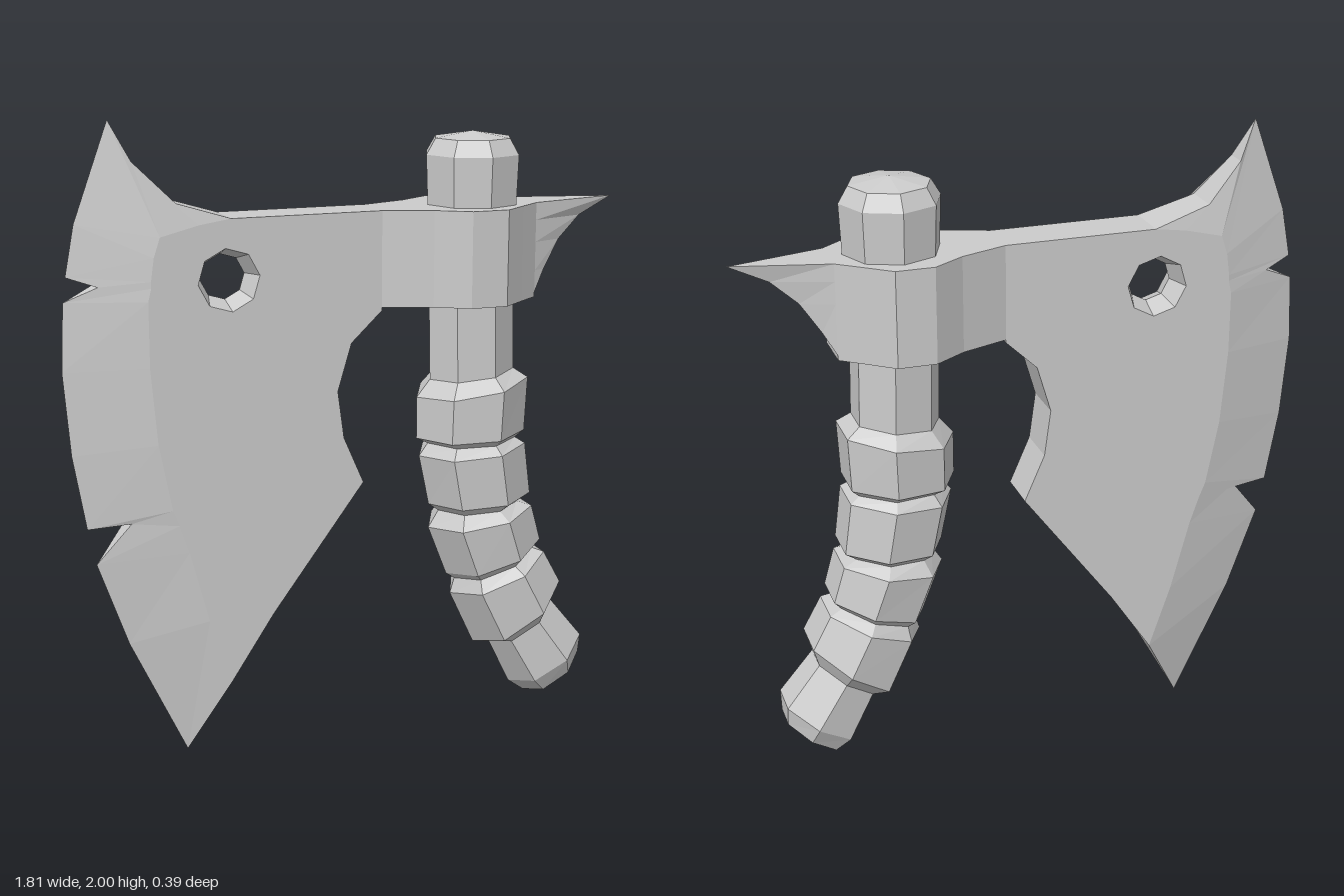
import * as THREE from 'three';

const material = new THREE.MeshStandardMaterial({ color: 0xcccccc, flatShading: true });
const HALF = 0.075; // half thickness of the blade plate

function addPart(group, name, geometry) {
  const mesh = new THREE.Mesh(geometry, material);
  mesh.name = name;
  group.add(mesh);
  return mesh;
}

// Collects flat polygons (counter-clockwise corners) into a faceted geometry
function facets(polygons) {
  const positions = [];
  for (const p of polygons) {
    for (let i = 1; i < p.length - 1; i++) positions.push(...p[0], ...p[i], ...p[i + 1]);
  }
  const geometry = new THREE.BufferGeometry();
  geometry.setAttribute('position', new THREE.Float32BufferAttribute(positions, 3));
  geometry.computeVertexNormals();
  return geometry;
}

// Symmetric wedge; each station is [innerX, innerY, outerX, outerY, outerHalfThickness]
function wedge(stations) {
  const polygons = [];
  const rings = stations.map(([ix, iy, ox, oy, w]) => [
    [ix, iy, HALF], [ox, oy, w], [ox, oy, -w], [ix, iy, -HALF],
  ]);
  for (let i = 0; i < rings.length - 1; i++) {
    for (let j = 0; j < 3; j++) {
      polygons.push([rings[i][j], rings[i][j + 1], rings[i + 1][j + 1], rings[i + 1][j]]);
    }
  }
  polygons.push([...rings[0]].reverse(), rings[rings.length - 1]);
  return facets(polygons);
}

// Seven-sided sleeve through rings given by their left and right points in the xy plane
function sleeve(spans, sides = 7) {
  const rings = spans.map(([lx, ly, rx, ry]) => {
    const length = Math.hypot(rx - lx, ry - ly);
    const ux = (rx - lx) / length, uy = (ry - ly) / length;
    const r = length / 1.9;
    return Array.from({ length: sides }, (_, i) => {
      const a = Math.PI + (i / sides) * Math.PI * 2;
      const d = r * (1 + Math.cos(a));
      return [lx + ux * d, ly + uy * d, r * 0.94 * Math.sin(a)];
    });
  });
  const polygons = [[...rings[0]].reverse(), rings[rings.length - 1]];
  for (let k = 0; k < rings.length - 1; k++) {
    for (let i = 0; i < sides; i++) {
      const n = (i + 1) % sides;
      polygons.push([rings[k][i], rings[k][n], rings[k + 1][n], rings[k + 1][i]]);
    }
  }
  return facets(polygons);
}

export function createModel() {
  const model = new THREE.Group();
  model.name = 'axe';

  // Sharpened, notched cutting edge from the top of the plate to the lower tip
  const edge = [
    [-0.4, 1.705, -0.4, 1.705, HALF],
    [-0.5, 1.69, -0.58, 1.76, 0.06],
    [-0.62, 1.66, -0.69, 1.88, 0.035],
    [-0.62, 1.66, -0.75, 2.0, 0],
    [-0.64, 1.6, -0.86, 1.7, 0],
    [-0.65, 1.53, -0.89, 1.545, 0],
    [-0.65, 1.51, -0.8, 1.515, 0.03],
    [-0.66, 1.47, -0.9, 1.47, 0],
    [-0.66, 1.27, -0.91, 1.26, 0],
    [-0.64, 1.03, -0.89, 1.0, 0],
    [-0.6, 0.82, -0.85, 0.765, 0],
    [-0.58, 0.77, -0.72, 0.78, 0.035],
    [-0.55, 0.68, -0.825, 0.65, 0],
    [-0.49, 0.45, -0.73, 0.38, 0],
    [-0.42, 0.24, -0.55, 0.0, 0],
  ];
  addPart(model, 'cuttingEdge', wedge(edge));

  // Flat plate with the round hole
  const inner = edge.map(([x, y]) => new THREE.Vector2(x, y))
    .filter((p, i, all) => i === 0 || !p.equals(all[i - 1]));
  const back = [[-0.28, 0.45], [0.02, 0.85], [-0.045, 1.0], [-0.065, 1.15], [-0.02, 1.3], [0.08, 1.395], [0.08, 1.705]];
  const plate = new THREE.Shape([...inner, ...back.map(([x, y]) => new THREE.Vector2(x, y))]);
  const hole = { x: -0.41, y: 1.52, outer: 0.097, inner: 0.07, turn: 0.1 };
  plate.holes.push(new THREE.Path(Array.from({ length: 8 }, (_, i) => {
    const a = hole.turn + (i * Math.PI) / 4;
    return new THREE.Vector2(hole.x + hole.outer * Math.cos(a), hole.y + hole.outer * Math.sin(a));
  })));
  const plateGeometry = new THREE.ExtrudeGeometry(plate, { depth: HALF * 2, bevelEnabled: false });
  plateGeometry.translate(0, 0, -HALF);
  addPart(model, 'bladePlate', plateGeometry);

  // Chamfered lining of the hole, narrowest in the middle
  const lining = new THREE.LatheGeometry([
    new THREE.Vector2(hole.outer, HALF),
    new THREE.Vector2(hole.inner, 0),
    new THREE.Vector2(hole.outer, -HALF),
  ], 8);
  lining.rotateX(Math.PI / 2).rotateZ(hole.turn).translate(hole.x, hole.y, 0);
  addPart(model, 'holeLining', lining);

  // Collar around the handle
  const side = [[0.08, HALF], [0.23, 0.13], [0.33, 0.195], [0.45, 0.195], [0.53, 0.13], [0.6, HALF]];
  const outline = [...side.map(([x, z]) => new THREE.Vector2(x, -z)),
    ...side.map(([x, z]) => new THREE.Vector2(x, z)).reverse()];
  const collar = new THREE.ExtrudeGeometry(new THREE.Shape(outline), { depth: 0.3, bevelEnabled: false });
  collar.rotateX(-Math.PI / 2).translate(0, 1.405, 0);
  addPart(model, 'collar', collar);

  // Rear spike, curving out to a point at the top
  const spike = [[0.6, 1.42, HALF], [0.64, 1.49, 0.056], [0.7, 1.58, 0.035], [0.78, 1.65, 0.016], [0.9, 1.705, 0]];
  addPart(model, 'rearSpike', wedge(spike.map(([x, y, w]) => [0.6, y, x, y, w])));

  // Octagonal head of the handle
  const head = new THREE.LatheGeometry(
    [[0.145, 1.6], [0.155, 1.86], [0.125, 1.91], [0, 1.93]].map(([r, y]) => new THREE.Vector2(r, y)), 8);
  head.translate(0.41, 0, 0);
  addPart(model, 'handleHead', head);

  // Bent handle: neck, four swollen grip bands and a flared tail
  addPart(model, 'handleGrip', sleeve([
    [0.265, 1.6, 0.53, 1.6],
    [0.275, 1.145, 0.54, 1.175],
    [0.23, 1.09, 0.583, 1.145],
    [0.23, 0.955, 0.575, 0.97],
    [0.27, 0.935, 0.55, 0.945],
    [0.24, 0.895, 0.58, 0.925],
    [0.275, 0.73, 0.603, 0.755],
    [0.31, 0.705, 0.565, 0.725],
    [0.275, 0.65, 0.61, 0.71],
    [0.34, 0.485, 0.645, 0.59],
    [0.37, 0.465, 0.62, 0.56],
    [0.355, 0.415, 0.66, 0.545],
    [0.44, 0.235, 0.72, 0.435],
    [0.5, 0.225, 0.7, 0.365],
    [0.575, 0.075, 0.81, 0.23],
    [0.63, 0.035, 0.81, 0.165],
  ]));

  return model;
}
